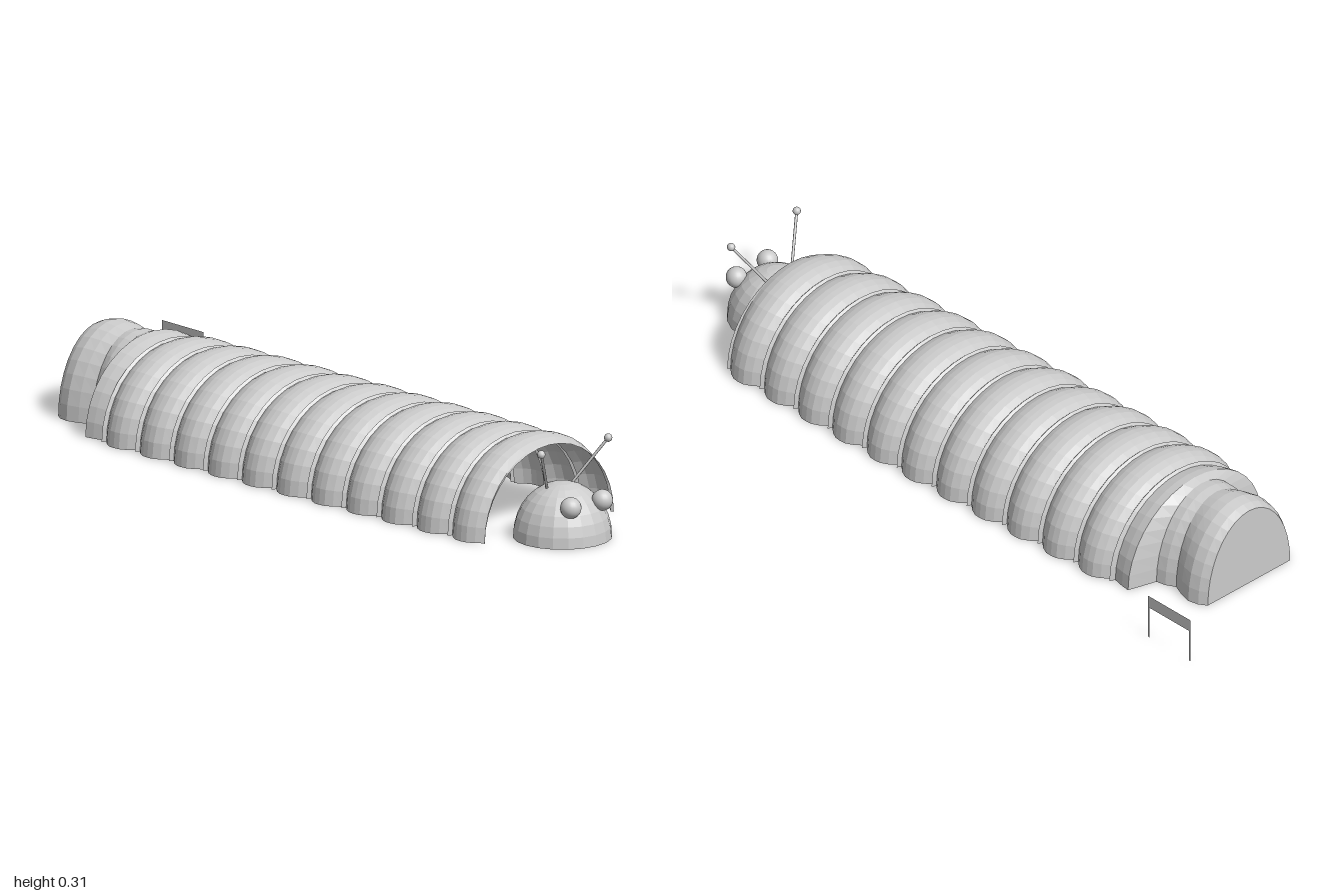
import * as THREE from 'three';

const material = new THREE.MeshStandardMaterial({ color: 0xcccccc, flatShading: true, side: THREE.DoubleSide });
const smooth = new THREE.MeshStandardMaterial({ color: 0xcccccc });

function add(parent, name, geometry, mat = material) {
  const mesh = new THREE.Mesh(geometry, mat);
  mesh.name = name;
  parent.add(mesh);
  return mesh;
}

// Sideways drift of the body's middle line
const centreAt = z => -0.12 + 0.035 * (z + 0.7);

// Arched shell through half-ellipse sections [z, halfWidth, height]
function archShell(sections, sides = 18) {
  const pos = [], index = [];
  sections.forEach(([z, w, h], i) => {
    for (let j = 0; j <= sides; j++) {
      const a = (j / sides) * Math.PI;
      pos.push(centreAt(z) + w * Math.cos(a), h * Math.sin(a), z);
      if (i && j) {
        const b = i * (sides + 1) + j, p = b - sides - 1;
        index.push(p - 1, b, b - 1, p - 1, p, b);
      }
    }
  });
  const g = new THREE.BufferGeometry();
  g.setAttribute('position', new THREE.Float32BufferAttribute(pos, 3));
  g.setIndex(index);
  g.computeVertexNormals();
  return g;
}

export function createModel() {
  const model = new THREE.Group();

  // Body lies along the floor diagonal
  const body = new THREE.Group();
  body.name = 'body';
  body.position.x = 0.006;
  body.rotation.y = Math.PI / 4;
  model.add(body);

  // Ribbed tunnel: half a segment at the back, then whole rounded segments with a thin hoop in each groove
  const rib = [[0, -0.02], [0.05, -0.033], [0.2, -0.014], [0.36, -0.002], [0.5, 0], [0.64, -0.002], [0.8, -0.014], [0.95, -0.033]];
  const back = -0.71, first = -0.635, step = 0.149, count = 11;
  const sections = [[back, 0.285, 0.283], [back + 0.03, 0.281, 0.279], [first - 0.008, 0.272, 0.268]];
  for (let i = 0; i < count; i++) {
    for (const [f, d] of rib) {
      const z = first + (i + f) * step;
      sections.push([z, 0.318 - 0.022 * z * z + d, 0.287 + d * 0.55]);
    }
  }
  sections.push([first + count * step, 0.27, 0.264]);
  add(body, 'ribbedTunnel', archShell(sections));

  // Narrow tail, its flared shoulder and its end wall
  const tail = [[-0.94, 0.176, 0.268], [-0.915, 0.192, 0.279], [-0.88, 0.199, 0.286], [-0.84, 0.188, 0.282],
    [-0.8, 0.17, 0.272], [-0.77, 0.186, 0.276], [-0.738, 0.192, 0.274], [back, 0.285, 0.283]];
  add(body, 'tail', archShell(tail));
  add(body, 'tailWall', archShell([[-0.94, 0, 0], tail[0]]));

  // Domed head, open underneath
  const head = new THREE.Group();
  head.name = 'head';
  head.position.set(0.717, 0, 0.845);
  head.rotation.y = Math.PI / 4;
  model.add(head);
  add(head, 'headDome', new THREE.SphereGeometry(0.153, 20, 8, 0, Math.PI * 2, 0, Math.PI / 2)).scale.y = 1.14;

  // Eyes and antennae, mirrored about the head's middle
  for (const s of [-1, 1]) {
    add(head, 'eye', new THREE.SphereGeometry(0.033, 20, 14), smooth).position.set(s * 0.066, 0.125, 0.108);
    const base = new THREE.Vector3(s * 0.05, 0.155, -0.015);
    const tip = new THREE.Vector3(s * 0.14, 0.298, 0.055);
    const path = new THREE.LineCurve3(base, tip);
    add(head, 'antennaStalk', new THREE.TubeGeometry(path, 1, 0.0045, 8), smooth);
    add(head, 'antennaTip', new THREE.SphereGeometry(0.013, 12, 8), smooth).position.copy(tip);
  }

  // Thin banner on two posts behind the tail
  const banner = new THREE.Group();
  banner.name = 'banner';
  banner.position.set(-0.51, 0, -0.934);
  banner.rotation.y = Math.PI * 0.75;
  model.add(banner);
  add(banner, 'bannerPanel', new THREE.PlaneGeometry(0.186, 0.042)).position.y = 0.131;
  for (const s of [-1, 1]) {
    add(banner, 'bannerPost', new THREE.PlaneGeometry(0.006, 0.152)).position.set(s * 0.09, 0.076, 0);
  }

  return model;
}
